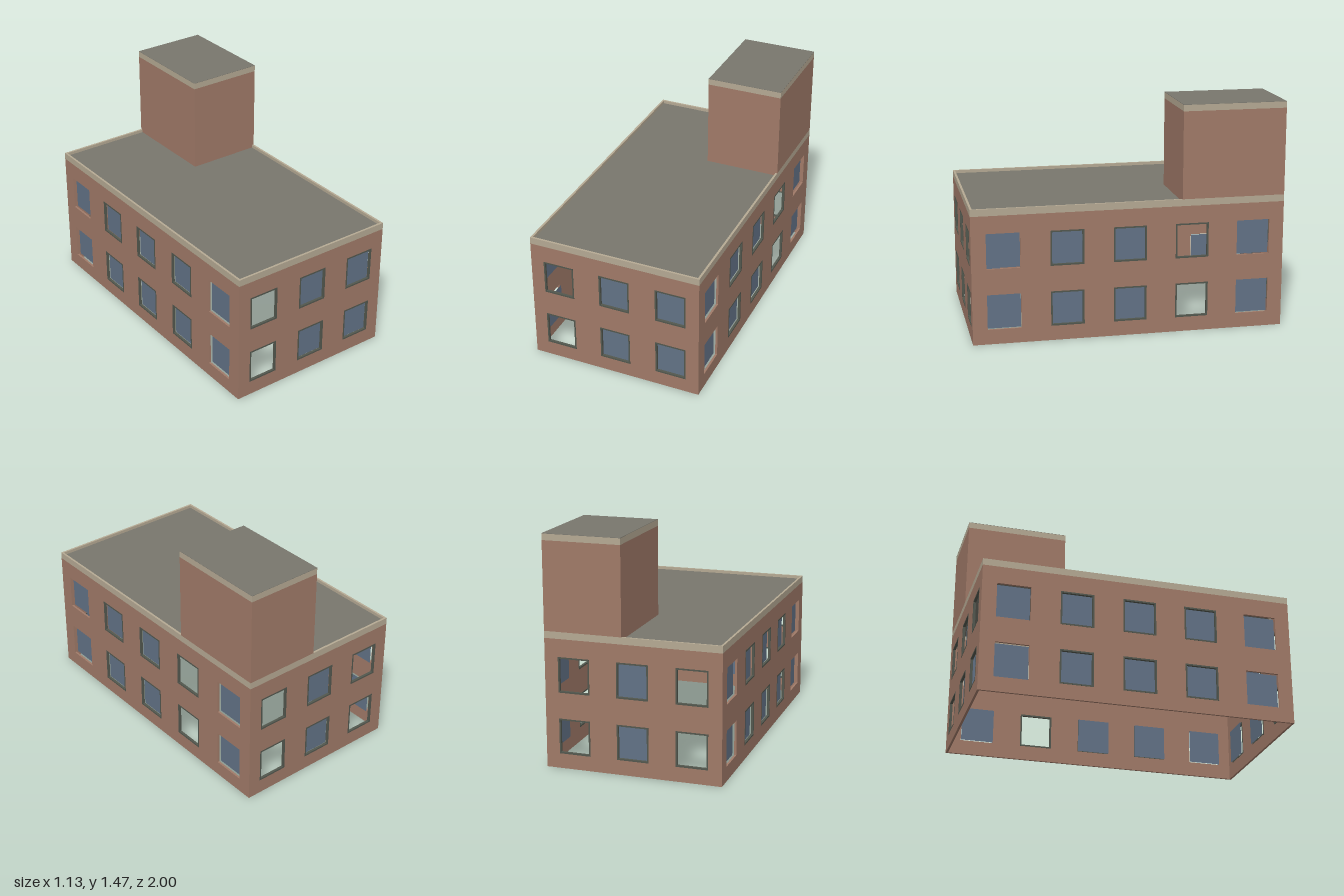
import * as THREE from 'three';

const W = 1.13, D = 2, T = 0.014;           // footprint and wall thickness
const BAND_Y = 0.826, TOP_Y = 0.87, ROOF_Y = 0.85;
const ROWS = [0.208, 0.6], WIN_H = 0.226, FRAME = 0.01;

const mat = (name, color, side = THREE.FrontSide) => {
  const m = new THREE.MeshStandardMaterial({ color, side });
  m.name = name;
  return m;
};

export function createModel() {
  const brick = mat('brick', 0xa07a68);
  const stone = mat('stone trim', 0xb5a993);
  const glass = mat('glass', 0x627286, THREE.DoubleSide);
  const roofing = mat('roofing', 0x78766d, THREE.DoubleSide);
  const frameMat = mat('window frame', 0x52574e);

  const model = new THREE.Group();
  model.name = 'building';

  const add = (parent, name, geometry, material, x = 0, y = 0, z = 0) => {
    const mesh = new THREE.Mesh(geometry, material);
    mesh.name = name;
    mesh.position.set(x, y, z);
    parent.add(mesh);
    return mesh;
  };
  // rectangle outline centred on cx, cy
  const rect = (Type, cx, cy, w, h) => new Type([
    new THREE.Vector2(cx - w / 2, cy - h / 2), new THREE.Vector2(cx + w / 2, cy - h / 2),
    new THREE.Vector2(cx + w / 2, cy + h / 2), new THREE.Vector2(cx - w / 2, cy + h / 2),
  ]);
  const extrude = (shape, depth) => new THREE.ExtrudeGeometry(shape, { depth, bevelEnabled: false });
  // hollow rectangle
  const ring = (w, h, border, depth) => {
    const s = rect(THREE.Shape, 0, 0, w, h);
    s.holes.push(rect(THREE.Path, 0, 0, w - 2 * border, h - 2 * border));
    return extrude(s, depth);
  };

  // One wall with its windows; its outer face lies on local z = 0
  function wall(name, width, columns, winW, open, unframed) {
    const g = new THREE.Group();
    g.name = name;
    const s = rect(THREE.Shape, 0, BAND_Y / 2, width, BAND_Y);
    for (const y of ROWS) for (const x of columns) s.holes.push(rect(THREE.Path, x, y, winW, WIN_H));
    add(g, name + 'Brickwork', extrude(s, T), brick, 0, 0, -T);
    for (const y of ROWS) columns.forEach((x, i) => {
      if (!unframed.includes(i)) {
        add(g, 'windowFrame', ring(winW, WIN_H, FRAME, T + 0.002), frameMat, x, y, -T - 0.001);
      }
      if (!open.includes(i)) {
        add(g, 'windowPane', new THREE.PlaneGeometry(winW, WIN_H), glass, x, y, -0.026);
      }
    });
    model.add(g);
    return g;
  }

  // Walls: short ends have three window columns, long sides five
  const ends = [-0.377, 0, 0.377], sides = [-0.8, -0.4, 0, 0.4, 0.8];
  wall('frontWall', W, ends, 0.203, [0], []).position.z = D / 2;
  const back = wall('backWall', W, ends, 0.203, [0, 2], []);
  back.position.z = -D / 2;
  back.rotation.y = Math.PI;
  const left = wall('leftWall', D - 2 * T, sides, 0.213, [3], [0, 4]);
  left.position.x = W / 2;
  left.rotation.y = Math.PI / 2;
  const right = wall('rightWall', D - 2 * T, sides, 0.213, [], [0, 4]);
  right.position.x = -W / 2;
  right.rotation.y = -Math.PI / 2;

  // Parapet band and the sunken flat roof
  add(model, 'parapet', ring(W, D, T, TOP_Y - BAND_Y), stone, 0, BAND_Y, 0).rotation.x = -Math.PI / 2;
  add(model, 'roof', new THREE.PlaneGeometry(W - 2 * T, D - 2 * T), roofing, 0, ROOF_Y, 0)
    .rotation.x = -Math.PI / 2;

  // Tower on the back corner
  const tw = 0.5, td = 0.665, capY = 1.428, topY = 1.47;
  const tx = W / 2 - tw / 2, tz = -D / 2 + td / 2;
  const tower = new THREE.Group();
  tower.name = 'tower';
  model.add(tower);
  const box = (name, w, d, y0, y1, m, x, z) =>
    add(tower, name, new THREE.BoxGeometry(w, y1 - y0, d), m, x, (y0 + y1) / 2, z);
  box('towerBase', tw - T, td - T, ROOF_Y + 0.001, TOP_Y, brick, tx - T / 2, tz + T / 2);
  box('towerBody', tw, td, TOP_Y, capY, brick, tx, tz);
  box('towerBand', tw, td, capY, topY - 0.002, stone, tx, tz);
  box('towerRoof', tw, td, topY - 0.002, topY, roofing, tx, tz);

  return model;
}
